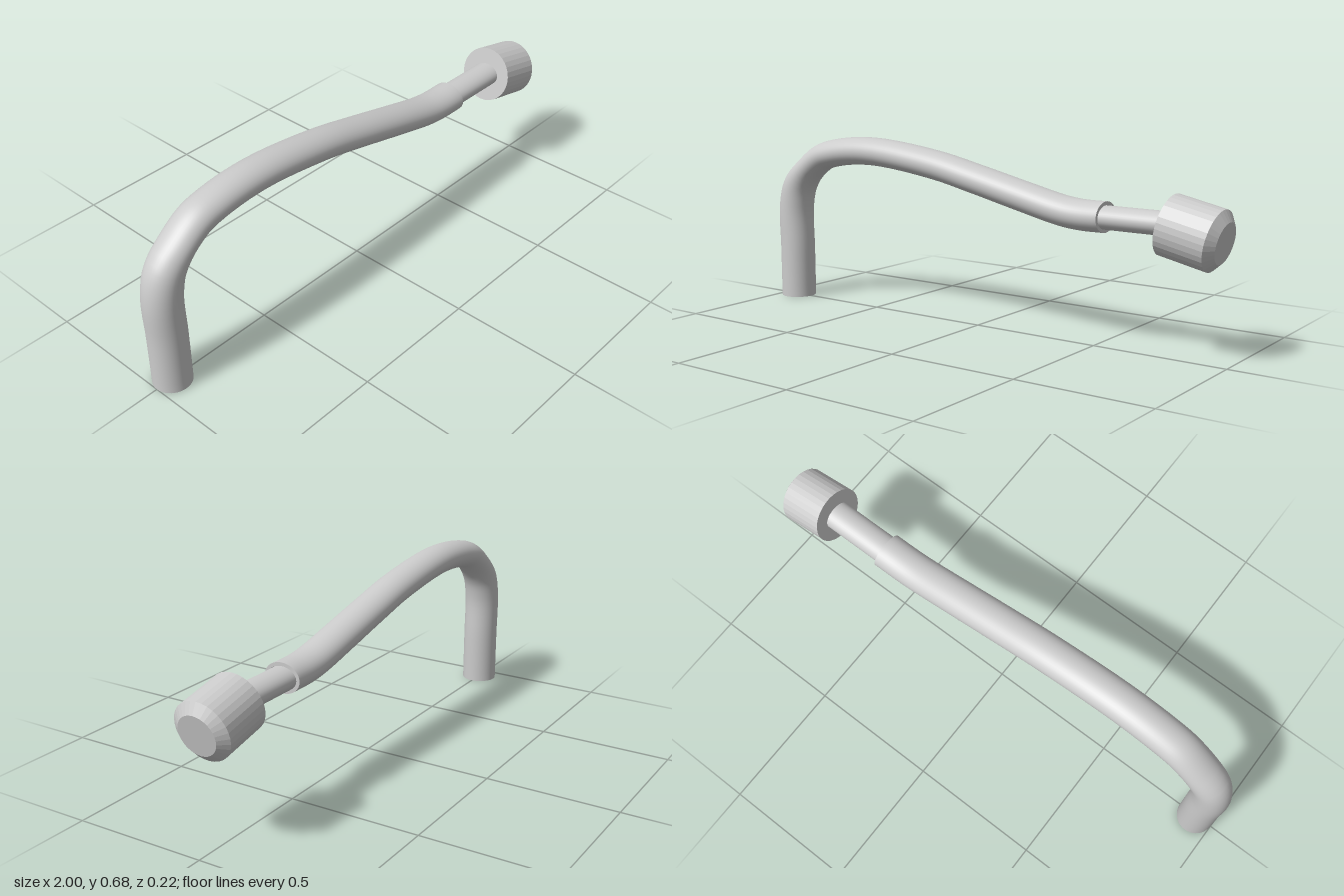
import * as THREE from 'three';

const SIDES = 40, STEPS = 64, WALL = 0.013;
const smooth = new THREE.MeshStandardMaterial({ color: 0xcccccc, side: THREE.DoubleSide });
const faceted = new THREE.MeshStandardMaterial({ color: 0xcccccc, flatShading: true });

// Centre line of the spout in the x-y plane
const path = new THREE.CatmullRomCurve3([
  [-0.93, 0], [-0.93, 0.2], [-0.93, 0.38], [-0.9, 0.475], [-0.785, 0.58], [-0.7, 0.608],
  [-0.51, 0.625], [-0.2, 0.592], [0, 0.55], [0.2, 0.504], [0.37, 0.467], [0.45, 0.459], [0.54, 0.459],
].map(([x, y]) => new THREE.Vector3(x, y, 0)));

// Elliptical ring across the path, round at the base and flatter past the bend
function ring(t, inset) {
  const p = path.getPoint(t), d = path.getTangent(t);
  const flat = 0.07 - 0.0155 * THREE.MathUtils.smoothstep(p.x, -0.935, -0.84) - inset;
  const points = [];
  for (let i = 0; i < SIDES; i++) {
    const a = (i / SIDES) * Math.PI * 2, r = Math.cos(a) * flat;
    points.push(new THREE.Vector3(p.x - d.y * r, p.y + d.x * r, Math.sin(a) * (0.07 - inset)));
  }
  return points;
}

// Skin joining successive rings
function loft(rings) {
  const index = [];
  for (let j = 0; j < rings.length - 1; j++) {
    for (let i = 0; i < SIDES; i++) {
      const k = (i + 1) % SIDES;
      const a = j * SIDES + i, b = j * SIDES + k, c = a + SIDES, e = b + SIDES;
      index.push(a, b, c, b, e, c);
    }
  }
  const geometry = new THREE.BufferGeometry().setFromPoints(rings.flat());
  geometry.setIndex(index);
  geometry.computeVertexNormals();
  return geometry;
}

function add(parent, name, geometry, material) {
  const mesh = new THREE.Mesh(geometry, material);
  mesh.name = name;
  parent.add(mesh);
  return mesh;
}

export function createModel() {
  const model = new THREE.Group();
  model.name = 'spout';

  // Hollow curved pipe: outer skin, bore and the two end rims
  const pipe = new THREE.Group();
  pipe.name = 'curvedPipe';
  const stations = Array.from({ length: STEPS + 1 }, (_, i) => i / STEPS);
  add(pipe, 'pipeOuter', loft(stations.map(t => ring(t, 0))), smooth);
  add(pipe, 'pipeBore', loft(stations.map(t => ring(t, WALL)).reverse()), smooth);
  add(pipe, 'baseRim', loft([ring(0, WALL), ring(0, 0)]), smooth);
  add(pipe, 'tipRim', loft([ring(1, 0), ring(1, WALL)]), smooth);
  model.add(pipe);

  // Oval neck sliding out of the pipe into the head
  const neck = add(model, 'neck',
    new THREE.CylinderGeometry(1, 1, 0.34, SIDES).rotateZ(-Math.PI / 2).scale(1, 0.0415, 0.0565), smooth);
  neck.position.set(0.64, 0.458, 0);

  // Tilted head with a chamfered front edge
  const profile = [[0, 0], [0.108, 0], [0.108, 0.178], [0.073, 0.205], [0, 0.205]]
    .map(([r, y]) => new THREE.Vector2(r, y));
  const head = add(model, 'head', new THREE.LatheGeometry(profile, 32), faceted);
  head.position.set(0.779, 0.456, 0);
  head.rotation.z = -Math.PI / 2 - 0.215;

  return model;
}
